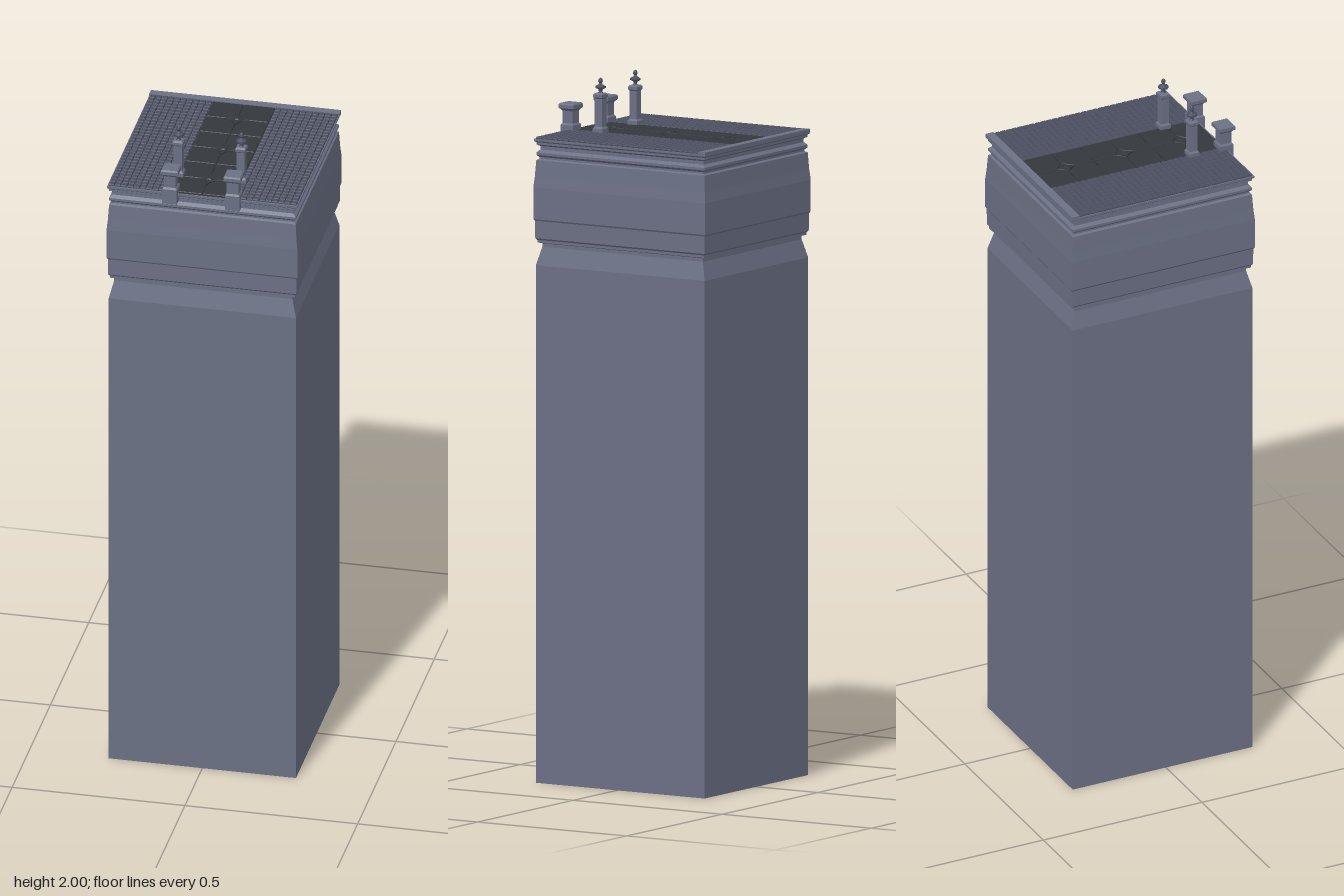
import * as THREE from 'three';
import { mergeGeometries } from 'three/addons/utils/BufferGeometryUtils.js';

const mat = (color) => new THREE.MeshStandardMaterial({ color, flatShading: true });
const stone = mat(0x6b7085), tileMat = mat(0x4b4f60), panelMat = mat(0x34383d);

const TOP = 1.845, FLOOR = 1.839;
const PITCH = 0.0182, CELL = 0.0908;
const PAVE_BACK = -0.274;

// Square turned profile: points are [half width, height] from bottom to top
function squareProfile(points, depthRatio = 1) {
  const pts = points.map(([h, y]) => new THREE.Vector2(h * Math.SQRT2, y));
  return new THREE.LatheGeometry(pts, 4).rotateY(Math.PI / 4).scale(1, 1, depthRatio);
}

function addMesh(parent, name, geometry, material, x = 0, y = 0, z = 0) {
  const mesh = new THREE.Mesh(geometry, material);
  mesh.name = name;
  mesh.position.set(x, y, z);
  parent.add(mesh);
  return mesh;
}

// Flat outline in x / -z, extruded upwards with a small bevel
function slab(shape, height, bevel) {
  return new THREE.ExtrudeGeometry(shape, {
    depth: height - bevel, curveSegments: 6,
    bevelEnabled: true, bevelThickness: bevel, bevelSize: bevel, bevelOffset: -bevel, bevelSegments: 1,
  }).rotateX(-Math.PI / 2);
}

// Square panel with a concave-star corner taken out at the origin
function panelShape(reach) {
  const g = 0.0015, e = CELL - g;
  const s = new THREE.Shape();
  s.moveTo(reach, g);
  s.lineTo(e, g);
  s.lineTo(e, e);
  s.lineTo(g, e);
  s.lineTo(g, reach);
  s.quadraticCurveTo(0.009, 0.009, reach, g);
  return s;
}

// Four-pointed star with concave sides
function starShape(reach, waist) {
  const s = new THREE.Shape();
  s.moveTo(reach, 0);
  for (let i = 0; i < 4; i++) {
    const a = (i + 0.5) * Math.PI / 2, b = (i + 1) * Math.PI / 2;
    s.quadraticCurveTo(waist * Math.cos(a), waist * Math.sin(a), reach * Math.cos(b), reach * Math.sin(b));
  }
  return s;
}

export function createModel() {
  const model = new THREE.Group();
  model.name = 'tower';

  // Shaft, neck, banded head and cornice in one stepped profile
  const profile = [
    [0, 0], [0.271, 0], [0.271, 1.478], [0.258, 1.53], [0.258, 1.54],
    [0.268, 1.543], [0.268, 1.55], [0.272, 1.555], [0.273, 1.605], [0.276, 1.61],
    [0.276, 1.70], [0.273, 1.73], [0.27, 1.778], [0.264, 1.782], [0.264, 1.787],
    [0.27, 1.793], [0.27, 1.80], [0.262, 1.808], [0.262, 1.818],
    [0.27, 1.823], [0.27, 1.829], [0.275, 1.833], [0.275, FLOOR], [0, FLOOR],
  ];
  addMesh(model, 'towerBody', squareProfile(profile, 0.2885 / 0.276), stone, 0, 0, -0.0105);

  // Plain ledge along the back edge of the roof
  addMesh(model, 'backLedge', new THREE.BoxGeometry(0.55, TOP - FLOOR, 0.024), stone, 0, (TOP + FLOOR) / 2, -0.286);

  // Small bevelled paving tiles, left and right of the centre strip
  const half = PITCH / 2 - 0.0008;
  const tile = squareProfile([[half, 0], [half, 0.003], [half - 0.0015, TOP - FLOOR], [0, TOP - FLOOR]]);
  for (const side of [1, -1]) {
    const tiles = [];
    for (let i = 0; i < 10; i++) {
      for (let j = 0; j < 30; j++) {
        tiles.push(tile.clone().translate(side * (0.0908 + (i + 0.5) * PITCH), FLOOR, PAVE_BACK + (j + 0.5) * PITCH));
      }
    }
    addMesh(model, side > 0 ? 'leftPaving' : 'rightPaving', mergeGeometries(tiles), tileMat);
  }

  // Centre strip: large panels meeting at star inlays
  const strip = new THREE.Group();
  strip.name = 'centreStrip';
  model.add(strip);
  const panel = slab(panelShape(0.034), TOP - FLOOR - 0.001, 0.0015);
  const star = slab(starShape(0.033, 0.009), TOP - FLOOR, 0.001);
  addMesh(strip, 'stripBed', new THREE.BoxGeometry(0.1816, 0.002, 0.546), panelMat, 0, FLOOR, -0.001);
  for (let k = 0; k < 3; k++) {
    const z = PAVE_BACK + CELL * (2 * k + 1);
    for (let q = 0; q < 4; q++) {
      addMesh(strip, 'panel', panel, panelMat, 0, FLOOR, z).rotation.y = q * Math.PI / 2;
    }
    addMesh(strip, 'star', star, panelMat, 0, FLOOR, z);
    addMesh(strip, 'starBoss', squareProfile([[0.007, 0], [0.004, 0.004], [0, 0.005]]), panelMat, 0, TOP - 0.001, z);
  }

  // Gate posts on the front edge and finial posts behind them
  const gatePost = squareProfile([
    [0, 1.812], [0.021, 1.812], [0.021, 1.858], [0.017, 1.863], [0.017, 1.898],
    [0.021, 1.903], [0.025, 1.906], [0.025, 1.916], [0.022, 1.92], [0, 1.92],
  ]);
  const finialPost = squareProfile([
    [0, FLOOR], [0.016, FLOOR], [0.016, 1.855], [0.012, 1.86], [0.012, 1.94],
    [0.015, 1.944], [0.015, 1.952], [0.011, 1.956], [0, 1.956],
  ]);
  const finial = new THREE.LatheGeometry([
    [0.009, 1.954], [0.005, 1.96], [0.006, 1.966], [0.015, 1.97], [0.015, 1.975],
    [0.006, 1.98], [0.004, 1.984], [0.007, 1.989], [0.005, 1.996], [0, 2],
  ].map(([r, y]) => new THREE.Vector2(r, y)), 8).rotateY(Math.PI / 8);
  for (const side of [1, -1]) {
    const name = side > 0 ? 'left' : 'right', x = side * 0.0908;
    addMesh(model, name + 'GatePost', gatePost, stone, x, 0, 0.271);
    addMesh(model, name + 'FinialPost', finialPost, stone, x, 0, 0.171);
    addMesh(model, name + 'Finial', finial, tileMat, x, 0, 0.171);
  }
  return model;
}
